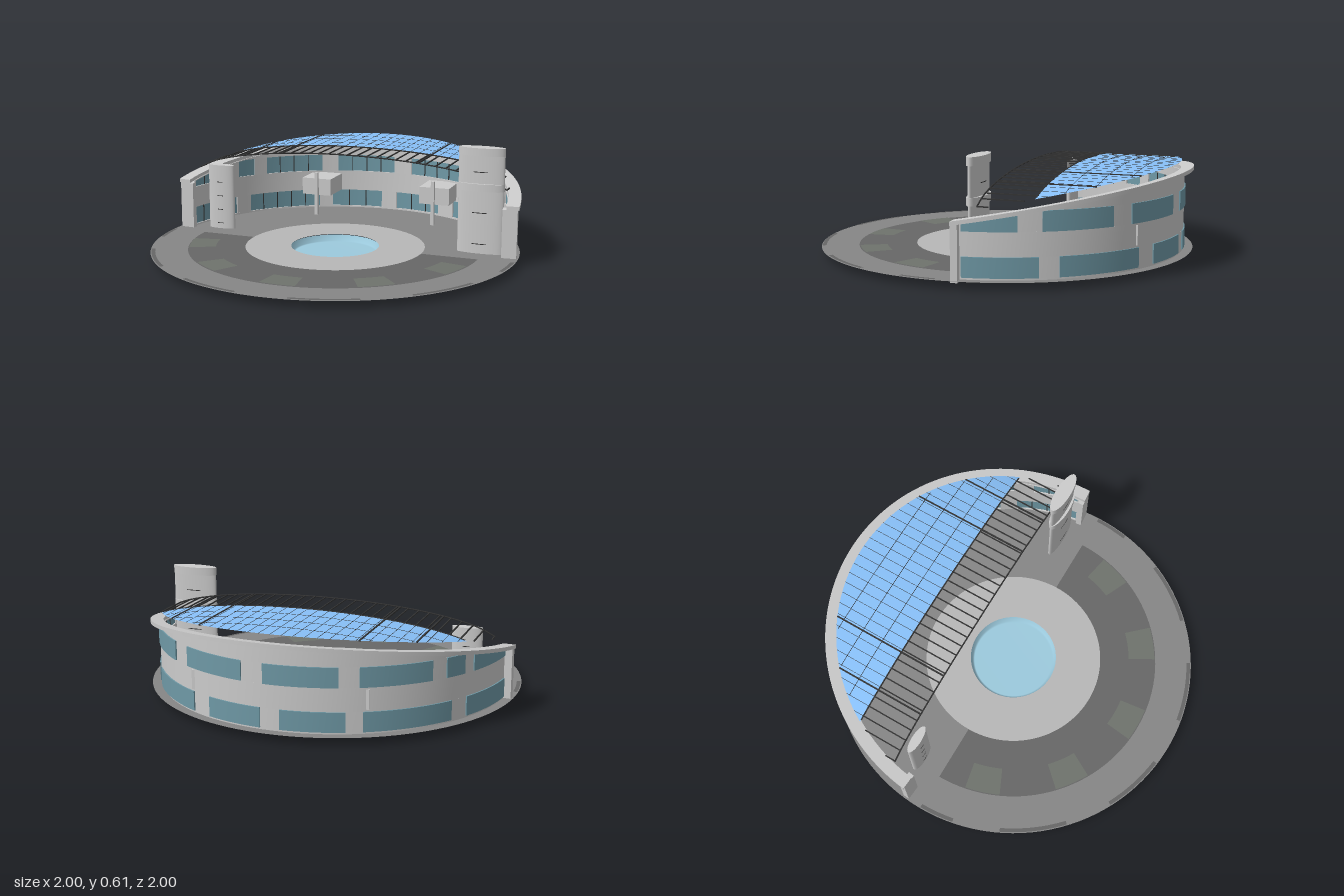
import * as THREE from 'three';

const mat = (color, side = THREE.FrontSide) => new THREE.MeshStandardMaterial({ color, side });
const wallMat = mat(0xcccccc), frameMat = mat(0x333333), windowMat = mat(0x6f99a6);
const poolMat = mat(0x9ccadd, THREE.DoubleSide), roofMat = mat(0x88c0f8, THREE.DoubleSide);
const paveLight = mat(0xb8b8b8, THREE.DoubleSide), paveMid = mat(0x868686, THREE.DoubleSide);
const paveDark = mat(0x676767, THREE.DoubleSide), patchMat = mat(0x6e736c, THREE.DoubleSide);
const rad = THREE.MathUtils.degToRad;

const GROUND = 0.04;
const rimY = z => 0.32 + 0.174 * (-z - 0.07);                          // sloping top of the rim
const archY = x => 0.342 + 0.18 * Math.sqrt(Math.max(0, 0.87 - x * x)); // barrel roof height

// Curved block; angles in degrees run from +x round the back to -x, heights are numbers or functions of z
function arcBlock(r0, r1, a0, a1, lo, hi) {
  const n = Math.max(1, Math.ceil((a1 - a0) / 2.5));
  const g = new THREE.BoxGeometry(1, 1, 1, 1, 1, n), p = g.attributes.position;
  const at = (f, z) => (typeof f === 'function' ? f(z) : f);
  for (let i = 0; i < p.count; i++) {
    const r = r0 + (p.getX(i) + 0.5) * (r1 - r0);
    const a = rad(a1 - (p.getZ(i) + 0.5) * (a1 - a0));
    const x = r * Math.cos(a), z = -r * Math.sin(a);
    p.setXYZ(i, x, p.getY(i) > 0 ? at(hi, z) : at(lo, z), z);
  }
  g.computeVertexNormals();
  return g;
}

// Flat ring sector lying at height y
function paving(r0, r1, a0, a1, y) {
  const n = Math.max(2, Math.ceil((a1 - a0) / 3));
  return new THREE.RingGeometry(r0, r1, n, 1, rad(a0), rad(a1 - a0)).rotateX(-Math.PI / 2).translate(0, y, 0);
}

export function createModel() {
  const model = new THREE.Group();
  const group = name => { const g = new THREE.Group(); g.name = name; model.add(g); return g; };
  const add = (name, geo, material, parent = model) => {
    const m = new THREE.Mesh(geo, material);
    m.name = name;
    parent.add(m);
    return m;
  };

  // Paved ground
  const ground = group('ground');
  add('plaza', paving(0.24, 0.49, 0, 360, GROUND), paveLight, ground);
  add('backFloor', paving(0.49, 1, 0, 180, GROUND), paveMid, ground);
  add('frontPath', paving(0.49, 0.8, 180, 360, GROUND), paveDark, ground);
  add('outerPath', paving(0.8, 1, 180, 360, GROUND), paveMid, ground);
  for (let i = -2; i <= 2; i++) {
    const a = 270 + i * 36;
    add('plantingBed', paving(0.65, 0.795, a - 6.9, a + 6.9, GROUND + 0.003), patchMat, ground);
  }
  for (const s of [-1, 1]) for (const [a, b] of [[8, 28], [43, 64], [79, 90]]) {
    add('edgeStrip', paving(0.975, 0.995, 270 + Math.min(s * a, s * b), 270 + Math.max(s * a, s * b), GROUND + 0.003), paveDark, ground);
  }

  // Sunken pool
  add('pool', new THREE.LatheGeometry(
    [[0, 0.001], [0.22, 0.001], [0.23, 0.004], [0.245, 0.036]].map(p => new THREE.Vector2(...p)), 64), poolMat);

  // Two-storey curved wall: solid bands, piers and windows
  const building = group('curvedBuilding');
  const R0 = 0.925, R1 = 0.95, A0 = 6, A1 = 174;
  const under = z => rimY(z) - 0.02;
  const storeys = [
    { lo: 0.05, hi: 0.15, spans: [[7, 29], [35, 62], [69, 87], [93, 112], [117, 145], [151, 173]] },
    { lo: 0.27, hi: z => Math.min(0.37, under(z) - 0.005),
      spans: [[7, 23], [30, 52], [59, 81], [88, 110], [116, 138], [143, 150], [154, 173]] }
  ];
  add('baseBand', arcBlock(R0, R1, A0, A1, GROUND, 0.05), wallMat, building);
  add('middleBand', arcBlock(R0, R1, A0, A1, 0.15, 0.27), wallMat, building);
  add('topBand', arcBlock(R0, R1, A0, A1, storeys[1].hi, under), wallMat, building);
  for (const { lo, hi, spans } of storeys) {
    let from = A0;
    for (const [a, b] of [...spans, [A1, A1]]) {
      if (a > from) add('pier', arcBlock(R0, R1, from, a, lo, hi), wallMat, building);
      from = b;
      if (a === b) continue;
      add('window', arcBlock(0.933, 0.957, a, b, lo, hi), windowMat, building);
      const n = Math.max(1, Math.round((b - a) / 6));
      for (let i = 1; i < n; i++) {
        const c = a + (b - a) * i / n;
        add('mullion', arcBlock(0.929, 0.934, c - 0.15, c + 0.15, lo, hi), frameMat, building);
      }
    }
  }
  for (const a of [4.5, 173.5]) add('endWall', arcBlock(0.91, 0.99, a, a + 2, 0.03, under), wallMat, building);
  add('rim', arcBlock(0.93, 0.998, 4.5, 175.5, under, rimY), wallMat, building);

  // Balconies with a post, one per side
  for (const s of [-1, 1]) {
    add('balcony', new THREE.BoxGeometry(0.18, 0.1, 0.2).translate(s * 0.37, 0.21, -0.74), wallMat, building);
    add('balconyPost', new THREE.BoxGeometry(0.02, 0.26, 0.02).translate(s * 0.365, 0.17, -0.63), wallMat, building);
  }

  // Glass roof: a plane bent to the arch and trimmed to the circle
  const backZ = x => -Math.sqrt(Math.max(0, 0.935 * 0.935 - x * x));
  const glass = new THREE.PlaneGeometry(1.65, 1, 64, 1).rotateX(-Math.PI / 2);
  const gp = glass.attributes.position;
  for (let i = 0; i < gp.count; i++) {
    const x = gp.getX(i);
    gp.setXYZ(i, x, archY(x), gp.getZ(i) > 0 ? -0.44 : Math.min(-0.44, backZ(x)));
  }
  glass.computeVertexNormals();
  add('glassRoof', glass, roofMat);

  // Slats in front of the glass, continuing over it as glazing bars
  const slats = group('roofSlats');
  const bar = (x, z0, z1, w) => add('slat',
    new THREE.BoxGeometry(w, w, z0 - z1).translate(x, archY(x), (z0 + z1) / 2), frameMat, slats);
  for (let i = -16; i <= 16; i++) {
    const x = i * 0.0565;
    bar(x, -0.18, Math.max(-0.44, backZ(x)), 0.006);
    if (Math.abs(x) < 0.8) bar(x, -0.44, backZ(x), 0.002);
  }
  for (const x of [-0.64, -0.41, 0.41, 0.64]) bar(x, -0.18, backZ(x), 0.008);
  for (const [z, r] of [[-0.18, 0.004], [-0.44, 0.004], [-0.56, 0.0015], [-0.68, 0.0015], [-0.8, 0.0015]]) {
    const w = Math.sqrt(0.925 * 0.925 - z * z), pts = [];
    for (let i = 0; i <= 24; i++) {
      const x = -w + 2 * w * i / 24;
      pts.push(new THREE.Vector3(x, archY(x), z));
    }
    add('crossBar', new THREE.TubeGeometry(new THREE.CatmullRomCurve3(pts), 48, r, 5), frameMat, slats);
  }

  // Elliptical towers, the left one tall with two collars
  const oval = (name, x, rx, rz, lo, hi, material, parent) => add(name,
    new THREE.CylinderGeometry(1, 1, hi - lo, 40).scale(rx, 1, rz).translate(x, (lo + hi) / 2, -0.14), material, parent);
  const towers = group('towers');
  oval('tallTower', 0.775, 0.125, 0.026, 0.03, 0.6, wallMat, towers);
  oval('topCollar', 0.775, 0.126, 0.04, 0.57, 0.612, wallMat, towers);
  oval('middleCollar', 0.775, 0.126, 0.04, 0.38, 0.42, wallMat, towers);
  oval('shortTower', -0.755, 0.08, 0.026, 0.035, 0.41, wallMat, towers);
  for (const y of [0.09, 0.26, 0.48]) oval('tallTowerGroove', 0.775, 0.09, 0.0275, y, y + 0.004, frameMat, towers);
  for (const y of [0.07, 0.15, 0.23, 0.31]) oval('shortTowerGroove', -0.755, 0.045, 0.0275, y, y + 0.004, frameMat, towers);

  return model;
}
